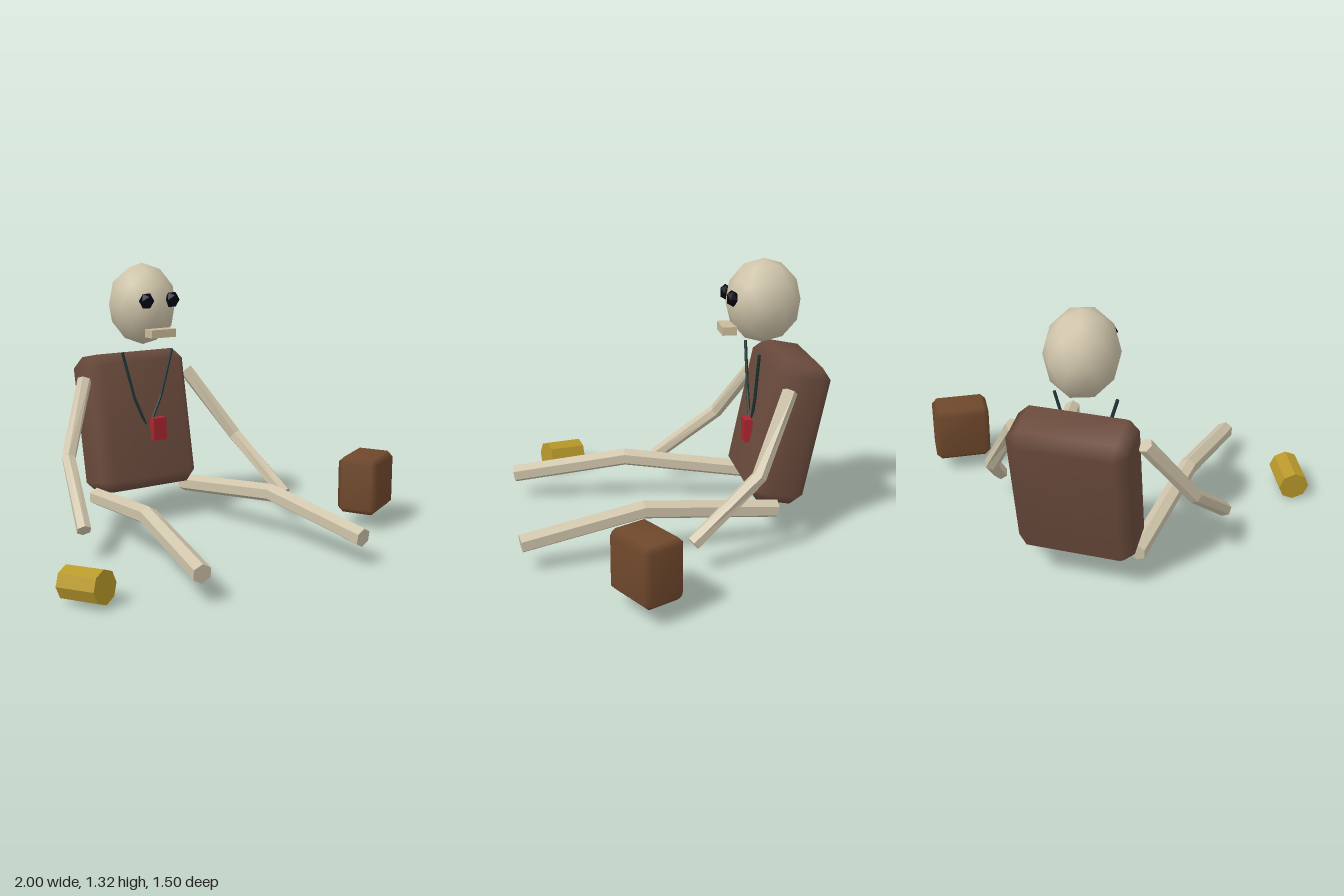
import * as THREE from 'three';
import { mergeVertices } from 'three/addons/utils/BufferGeometryUtils.js';
import { ConvexGeometry } from 'three/addons/geometries/ConvexGeometry.js';

const V = (x, y, z) => new THREE.Vector3(x, y, z);
const CX = -0.065; // symmetry plane of the seated figure

const material = (name, color) => {
  const m = new THREE.MeshStandardMaterial({ color });
  m.name = name;
  return m;
};

// Box with single-step chamfers and smooth normals
function chamferBox(w, h, d, c) {
  const pts = [];
  for (const sx of [-0.5, 0.5]) for (const sy of [-0.5, 0.5]) for (const sz of [-0.5, 0.5]) {
    const p = V(sx * w, sy * h, sz * d);
    const i = V(sx * (w - 2 * c), sy * (h - 2 * c), sz * (d - 2 * c));
    pts.push(V(p.x, i.y, i.z), V(i.x, p.y, i.z), V(i.x, i.y, p.z));
  }
  let g = new ConvexGeometry(pts);
  g.deleteAttribute('normal');
  g = mergeVertices(g);
  g.computeVertexNormals();
  return g;
}

// Faceted rod following a list of points, mitred at the joints
function rod(points, r, sides) {
  const n = points.length - 1;
  const frames = points.map((p, i) => {
    const dir = V(0, 0, 0);
    if (i > 0) dir.add(points[i - 1].clone().sub(p).normalize());
    if (i < n) dir.add(p.clone().sub(points[i + 1]).normalize());
    dir.normalize();
    const side = dir.clone().cross(V(0, 1, 0)).normalize();
    return { p, side, up: side.clone().cross(dir) };
  });
  const base = new THREE.CylinderGeometry(r, r, 1, sides, n);
  const pos = base.attributes.position;
  for (let i = 0; i < pos.count; i++) {
    const f = frames[Math.round((0.5 - pos.getY(i)) * n)];
    const v = f.p.clone().addScaledVector(f.side, pos.getX(i)).addScaledVector(f.up, pos.getZ(i));
    pos.setXYZ(i, v.x, v.y, v.z);
  }
  const g = base.toNonIndexed();
  g.computeVertexNormals();
  return g;
}

export function createModel() {
  const bone = material('bone', 0xcfc4aa);
  const jawBone = material('jaw bone', 0xc9ba98);
  const cloth = material('brown cloth', 0x6b4b3d);
  const leather = material('crate brown', 0x6f482c);
  const gold = material('gold', 0xb8982a);
  const red = material('red', 0xa8262e);
  const cord = material('dark cord', 0x1f3636);
  const black = material('eye black', 0x050514);

  const model = new THREE.Group();
  const add = (name, geometry, mat, x = 0, y = 0, z = 0) => {
    const mesh = new THREE.Mesh(geometry, mat);
    mesh.name = name;
    mesh.position.set(x, y, z);
    model.add(mesh);
    return mesh;
  };

  // Torso leaning back
  add('torso', chamferBox(0.55, 0.7, 0.28, 0.055), cloth, CX, 0.51, -0.553).rotation.x = -0.2;

  // Head: low sphere with one vertex pointing up
  const skull = new THREE.IcosahedronGeometry(1, 1);
  skull.rotateZ(Math.atan(2 / (1 + Math.sqrt(5))));
  skull.scale(0.167, 0.205, 0.185);
  add('head', skull, bone, CX, 1.12, -0.465);
  add('jaw', new THREE.BoxGeometry(0.138, 0.04, 0.07), jawBone, CX, 0.99, -0.29);

  // Paired parts, mirrored across the figure's own centre
  for (const [side, s] of [['left', 1], ['right', -1]]) {
    const P = (x, y, z) => V(CX + s * x, y, z);

    const eye = new THREE.IcosahedronGeometry(0.042, 0);
    eye.scale(0.95, 1, 0.72);
    add(side + 'Eye', eye, black, CX + s * 0.073, 1.15, -0.298);

    add(side + 'Arm', rod([P(0.3, 0.75, -0.53), P(0.49, 0.41, -0.345), P(0.58, 0.145, -0.025)], 0.036, 6), bone);
    add(side + 'Leg', rod([P(0.262, 0.15, -0.49), P(0.352, 0.227, 0.17), P(0.437, 0.135, 0.742)], 0.045, 6), bone);
    add(side + 'NeckCord', rod([P(0.145, 0.888, -0.417), P(0.078, 0.65, -0.417), P(0.01, 0.5, -0.417)], 0.008, 6), cord);
  }

  // Pendant on the chest
  add('pendant', new THREE.BoxGeometry(0.075, 0.115, 0.04), red, -0.022, 0.487, -0.388);

  // Crate on the left
  add('crate', chamferBox(0.285, 0.285, 0.205, 0.027), leather, 0.836, 0.221, 0.233).rotation.y = 0.5;

  // Gold canister lying on the right
  add('canister', rod([V(-0.853, 0.092, 0.557), V(-0.933, 0.077, 0.375)], 0.076, 8), gold);

  return model;
}
